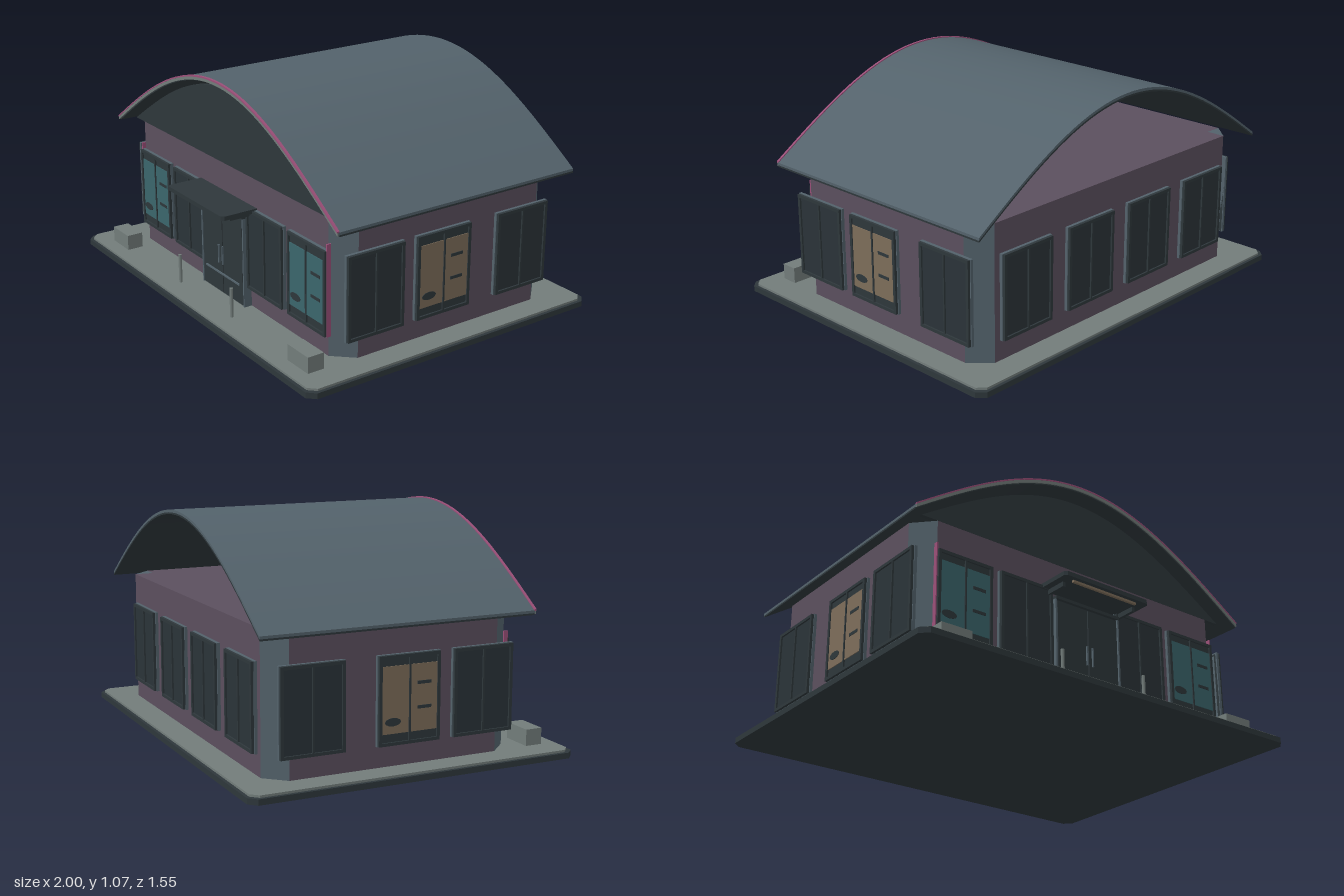
import * as THREE from 'three';
import { toCreasedNormals } from 'three/addons/utils/BufferGeometryUtils.js';

const mat = (name, color) => {
  const m = new THREE.MeshStandardMaterial({ color });
  m.name = name;
  return m;
};

export function createModel() {
  const charcoal = mat('charcoal', 0x2e373b);
  const slate = mat('slate', 0x53626b);
  const mauve = mat('mauve', 0x5b4f5e);
  const paving = mat('paving grey', 0x727c7a);
  const glass = mat('dark glass', 0x2a3338);
  const teal = mat('teal glow', 0x3a666c);
  const tan = mat('tan glow', 0x7d6d5a);
  const pink = mat('pink trim', 0x9a4f78);

  const model = new THREE.Group();
  model.name = 'pavilion';

  const add = (parent, name, geo, material, x = 0, y = 0, z = 0) => {
    const mesh = new THREE.Mesh(geo, material);
    mesh.name = name;
    mesh.position.set(x, y, z);
    parent.add(mesh);
    return mesh;
  };
  const box = (parent, name, material, w, h, d, x, y, z) =>
    add(parent, name, new THREE.BoxGeometry(w, h, d), material, x, y, z);

  // Upright prism from plan points [x, z]
  const prism = (name, material, pts, y0, y1) => {
    const shape = new THREE.Shape(pts.map(([x, z]) => new THREE.Vector2(x, -z)));
    const geo = new THREE.ExtrudeGeometry(shape, { depth: y1 - y0, bevelEnabled: false });
    geo.rotateX(-Math.PI / 2);
    return add(model, name, geo, material, 0, y0, 0);
  };
  const chamferedPlan = (a, z0, z1, c) => [
    [a, z0 + c], [a, z1 - c], [a - c, z1], [c - a, z1],
    [-a, z1 - c], [-a, z0 + c], [c - a, z0], [a - c, z0],
  ];

  // Plinth and paving
  prism('plinth', charcoal, chamferedPlan(1, -0.775, 0.775, 0.035), 0, 0.026);
  prism('paving', paving, chamferedPlan(0.985, -0.76, 0.76, 0.033), 0.026, 0.036);

  // Walls with chamfered slate corners
  const W = 0.865, w = 0.78, F = 0.53, f = 0.44, B = -0.635, b = -0.545;
  const wallTop = 0.66, floor = 0.036;
  prism('walls', mauve, [
    [W, b], [W, f], [w, f], [w, F], [-w, F], [-w, f],
    [-W, f], [-W, b], [-w, b], [-w, B], [w, B], [w, b],
  ], floor, wallTop);
  for (const s of [-1, 1]) {
    prism('frontCorner', slate, [[s * w, F], [s * W, f], [s * w, f]], floor, wallTop);
    prism('backCorner', slate, [[s * w, B], [s * W, b], [s * w, b]], floor, wallTop);
  }

  // Arched layers follow a cosine curve
  const N = 40;
  const curve = (half, base, rise) => Array.from({ length: N + 1 }, (_, i) => {
    const x = half * (1 - (2 * i) / N);
    return new THREE.Vector2(x, base + rise * Math.cos((Math.PI / 2) * (x / half)));
  });
  const archLayer = (name, material, lo, hi, z0, z1) => {
    const top = curve(0.93, 0.66 + hi, 0.4);
    const bottom = curve(0.93, 0.66 + lo, 0.4).reverse();
    const geo = new THREE.ExtrudeGeometry(new THREE.Shape([...top, ...bottom]),
      { depth: z1 - z0, bevelEnabled: false });
    add(model, name, toCreasedNormals(geo, 0.5), material, 0, 0, z0);
  };
  archLayer('roofLining', charcoal, -0.02, -0.012, -0.7, 0.585);
  archLayer('roofShell', slate, -0.012, 0, -0.7, 0.588);
  archLayer('roofFascia', paving, -0.016, -0.002, 0.588, 0.594);
  archLayer('roofTrim', pink, -0.002, 0.005, 0.584, 0.596);

  // Front gable; the vault stays open at the back
  add(model, 'frontGable', new THREE.ExtrudeGeometry(
    new THREE.Shape(curve(0.862, wallTop, 0.352)), { depth: 0.02, bevelEnabled: false }),
    charcoal, 0, 0, F - 0.019);

  // Windows: built facing +z with the wall at z = 0
  const frameShape = (fw, fh, t) => {
    const rect = (P, a, c) => new P([
      new THREE.Vector2(-a, -c), new THREE.Vector2(a, -c),
      new THREE.Vector2(a, c), new THREE.Vector2(-a, c)]);
    const s = rect(THREE.Shape, fw / 2, fh / 2);
    s.holes.push(rect(THREE.Path, fw / 2 - t, fh / 2 - t));
    return s;
  };
  const addWindow = (name, x, z, turn, glow, width = 0.3) => {
    const g = new THREE.Group();
    g.name = name;
    g.position.set(x, 0.325, z);
    g.rotation.y = turn;
    model.add(g);
    box(g, 'surround', slate, width, 0.39, 0.014, 0, 0, 0.007);
    add(g, 'frame', new THREE.ExtrudeGeometry(frameShape(width - 0.008, 0.386, 0.014),
      { depth: 0.026, bevelEnabled: false }), charcoal);
    box(g, 'pane', glow ? charcoal : glass, width - 0.034, 0.362, 0.006, 0, 0, 0.015);
    if (glow) {
      box(g, 'glowPanel', glow, width - 0.036, 0.29, 0.004, 0, 0.002, 0.0195);
      for (const y of [-0.04, 0.066])
        box(g, 'shelf', charcoal, 0.066, 0.014, 0.003, 0.07, y, 0.0225);
      const bowl = add(g, 'bowl', new THREE.CylinderGeometry(0.018, 0.018, 0.003, 12),
        charcoal, -0.08, -0.092, 0.0225);
      bowl.rotation.x = Math.PI / 2;
      bowl.scale.x = 2.1;
    }
    box(g, 'mullion', charcoal, 0.008, 0.362, 0.012, 0, 0, 0.02);
  };
  for (const s of [-1, 1]) {
    addWindow('frontDisplayWindow', s * 0.648, F, 0, teal, 0.285);
    addWindow('frontWindow', s * 0.324, F, 0, null, 0.288);
    for (const x of [0.2, 0.6]) addWindow('backWindow', s * x, B, Math.PI, null);
    for (const z of [0.362, 0, -0.448])
      addWindow('sideWindow', s * W, z, s * Math.PI / 2, z === 0 ? tan : null);
    box(model, 'windowTrim', pink, 0.007, 0.42, 0.02, s * 0.788, 0.34, F + 0.005);
  }

  // Double door
  const door = new THREE.Group();
  door.name = 'door';
  model.add(door);
  box(door, 'doorCore', glass, 0.35, 0.43, 0.03, 0, 0.252, F + 0.015);
  box(door, 'doorHead', charcoal, 0.364, 0.014, 0.045, 0, 0.473, F + 0.0225);
  for (const s of [-1, 1]) {
    box(door, 'doorJamb', slate, 0.008, 0.44, 0.04, s * 0.178, 0.256, F + 0.02);
    box(door, 'doorLeaf', charcoal, 0.166, 0.42, 0.008, s * 0.086, 0.25, F + 0.034);
    box(door, 'handle', slate, 0.006, 0.09, 0.008, s * 0.016, 0.235, F + 0.048);
  }
  box(door, 'kickRail', slate, 0.29, 0.008, 0.006, 0, 0.135, F + 0.041);

  // Canopy with a light strip below
  prism('canopy', charcoal, [
    [0.24, F], [0.24, 0.697], [0.227, 0.71], [-0.227, 0.71], [-0.24, 0.697], [-0.24, F],
  ], 0.507, 0.527);
  box(model, 'canopyLight', tan, 0.36, 0.01, 0.012, 0, 0.502, 0.685);
  for (const s of [-1, 1]) {
    box(model, 'canopyBracket', charcoal, 0.014, 0.025, 0.12, s * 0.2, 0.497, F + 0.06);
    // Bollards and planters
    add(model, 'bollard', new THREE.CylinderGeometry(0.008, 0.008, 0.14, 12), paving,
      s * 0.228, 0.106, 0.665);
    box(model, 'planter', paving, 0.15, 0.075, 0.08, s * 0.785, 0.073, 0.65);
  }
  return model;
}
